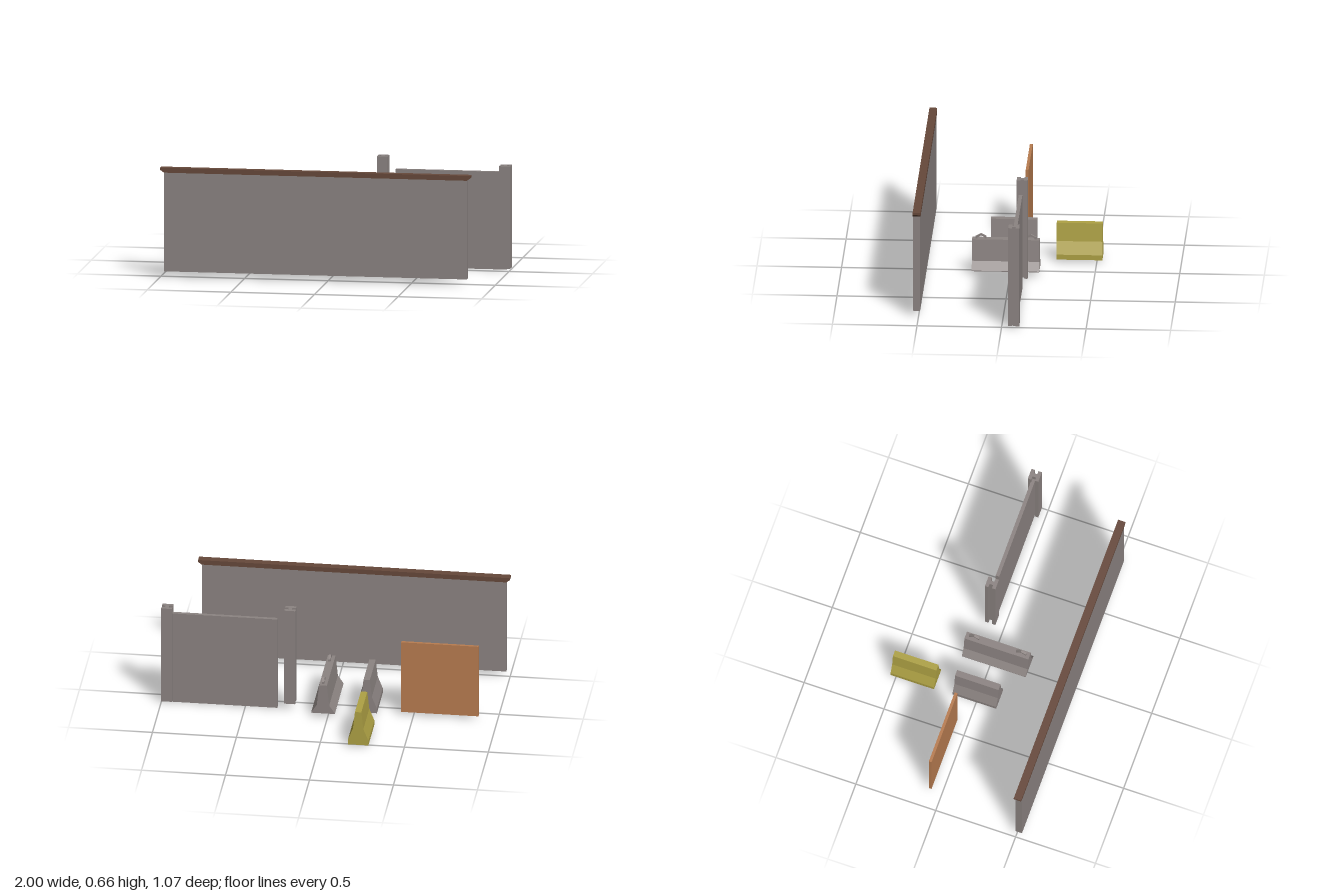
import * as THREE from 'three';

const material = (name, color) => {
  const m = new THREE.MeshStandardMaterial({ color, flatShading: true });
  m.name = name;
  return m;
};

// Extrude an outline of [x, y] points along z, from z0 to z1
function prism(points, z0, z1, holes = []) {
  const shape = new THREE.Shape(points.map(([x, y]) => new THREE.Vector2(x, y)));
  for (const h of holes) shape.holes.push(new THREE.Path(h.map(([x, y]) => new THREE.Vector2(x, y))));
  const g = new THREE.ExtrudeGeometry(shape, { depth: z1 - z0, bevelEnabled: false });
  return g.translate(0, 0, z0);
}

// Complete a right-hand profile (bottom to top) with its mirror image
const mirrored = (half) => [...half, ...half.map(([x, y]) => [-x, y]).reverse()];

export function createModel() {
  const group = new THREE.Group();
  const concrete = material('concrete grey', 0x8c8482);
  const brown = material('coping brown', 0x66483a);
  const yellow = material('barrier yellow', 0xaea144);
  const wood = material('plywood orange', 0xb87c50);

  const add = (name, geometry, mat, x = 0, y = 0, z = 0) => {
    const mesh = new THREE.Mesh(geometry, mat);
    mesh.name = name;
    mesh.position.set(x, y, z);
    group.add(mesh);
    return mesh;
  };
  const slab = (name, mat, [x0, x1], [y0, y1], [z0, z1]) =>
    add(name, new THREE.BoxGeometry(x1 - x0, y1 - y0, z1 - z0), mat,
      (x0 + x1) / 2, (y0 + y1) / 2, (z0 + z1) / 2);

  // Long wall with a coping whose ends flare outwards
  slab('longWall', concrete, [-0.978, 0.835], [0.035, 0.627], [0.491, 0.532]);
  add('wallCoping', prism([
    [-0.978, 0.626], [0.835, 0.626], [0.857, 0.642], [0.857, 0.655], [-1, 0.655], [-1, 0.642],
  ], 0.488, 0.534), brown);

  // Fence panel and its two slotted posts
  slab('fencePanel', concrete, [0.31, 0.975], [0, 0.584], [-0.086, -0.064]);
  const f = 0.0325, w = 0.011; // half flange and half web
  const section = [
    [-f, -f], [f, -f], [f, -w], [w, -w], [w, w], [f, w],
    [f, f], [-f, f], [-f, w], [-w, w], [-w, -w], [-f, -w],
  ];
  const post = (name, x, y0, y1, z) =>
    add(name, prism(section, 0, y1 - y0).rotateX(-Math.PI / 2), concrete, x, y0, z);
  post('innerPost', 0.233, 0.045, 0.66, -0.082);
  post('outerPost', 0.9675, 0.008, 0.622, -0.072);

  // Plywood sheet
  slab('plywoodSheet', wood, [-0.887, -0.427], [0.02, 0.48], [-0.083, -0.066]);

  // Tall road barriers
  const tall = mirrored([[0.061, 0], [0.061, 0.031], [0.031, 0.106], [0.019, 0.216]]);
  const tallBarrier = prism(tall, -0.136, 0.136);
  add('yellowBarrier', tallBarrier, yellow, -0.229, 0.014, -0.397);
  add('greyBarrier', tallBarrier, concrete, -0.229, 0.032, -0.008);

  // Low barrier with a wide foot
  const low = mirrored([[0.07, 0], [0.07, 0.004], [0.037, 0.054], [0.023, 0.184]]);
  add('lowBarrier', prism(low, -0.2, 0.2), concrete, 0.027, 0.026, 0.026);

  // Peaked lifting loops on top of the low barrier
  const loop = prism([
    [0.032, -0.004], [0.032, 0.014], [0, 0.031], [-0.032, 0.014], [-0.032, -0.004],
    [-0.021, -0.004], [-0.021, 0.008], [0, 0.019], [0.021, 0.008], [0.021, -0.004],
  ], -0.007, 0.007).rotateY(Math.PI / 2);
  for (const s of [-1, 1]) add('liftingLoop', loop, concrete, 0.03, 0.21, 0.026 + s * 0.147);

  return group;
}
